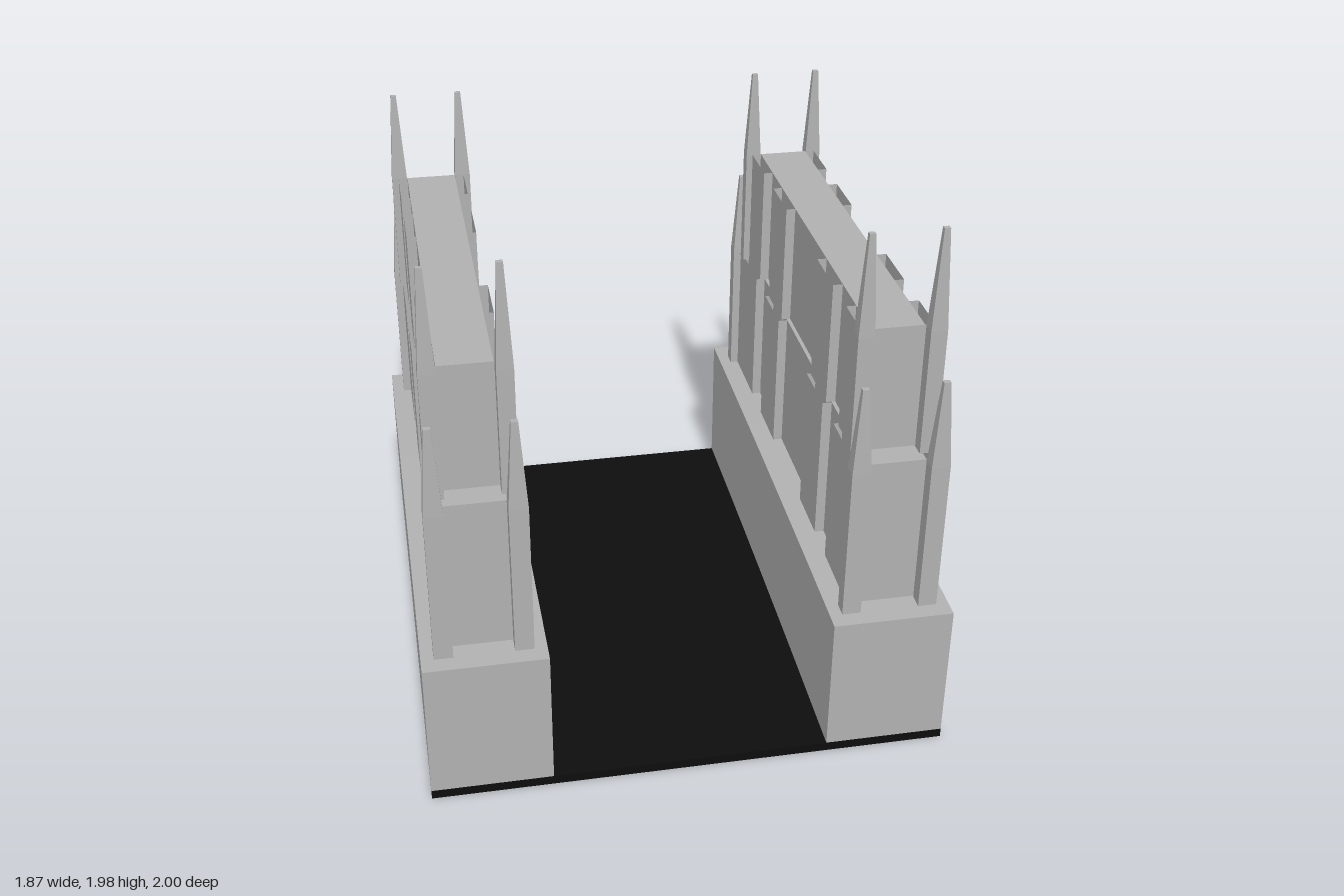
import * as THREE from 'three';

const stone = new THREE.MeshStandardMaterial({ name: 'stone', color: 0xb0b0b0, side: THREE.DoubleSide });
const asphalt = new THREE.MeshStandardMaterial({ name: 'asphalt', color: 0x0d0d0d, side: THREE.DoubleSide });

// gentle rise of the ground from front to back
const rise = z => 0.03 - 0.02 * z - 0.01 * z * z;

function add(parent, name, geometry, material, x = 0, y = 0, z = 0, rotY = 0) {
  const mesh = new THREE.Mesh(geometry, material);
  mesh.name = name;
  mesh.position.set(x, y, z);
  mesh.rotation.y = rotY;
  parent.add(mesh);
  return mesh;
}

// open cross-section [x, y] swept from front to back along the rise
function sweep(profile, steps = 6) {
  const pos = [];
  const at = (p, k) => {
    const z = 1 - 2 * k / steps;
    return [p[0], p[1] + rise(z), z];
  };
  for (let k = 0; k < steps; k++) {
    for (let i = 0; i < profile.length - 1; i++) {
      const a = at(profile[i], k), b = at(profile[i + 1], k);
      const c = at(profile[i + 1], k + 1), d = at(profile[i], k + 1);
      pos.push(...a, ...b, ...c, ...a, ...c, ...d);
    }
  }
  const g = new THREE.BufferGeometry();
  g.setAttribute('position', new THREE.Float32BufferAttribute(pos, 3));
  g.computeVertexNormals();
  return g;
}

// box between two heights and two depths, centred on x
function box(parent, name, halfW, y0, y1, z0, z1) {
  add(parent, name, new THREE.BoxGeometry(2 * halfW, y1 - y0, z1 - z0), stone,
    0, (y0 + y1) / 2, (z0 + z1) / 2);
}

// square shaft with a tapering spire
function pinnacle(parent, x, z, w, d, y0, shoulder, tip) {
  const g = new THREE.Group();
  g.name = 'pinnacle';
  g.position.set(x, 0, z);
  parent.add(g);
  add(g, 'shaft', new THREE.BoxGeometry(w, shoulder - y0, d), stone, 0, (y0 + shoulder) / 2, 0);
  const spire = new THREE.BoxGeometry(w, tip - shoulder, d);
  const p = spire.attributes.position;
  for (let i = 0; i < p.count; i++) {
    if (p.getY(i) > 0) {
      p.setX(i, p.getX(i) * 0.36);
      p.setZ(i, p.getZ(i) * 0.36);
    }
  }
  spire.computeVertexNormals();
  add(g, 'spire', spire, stone, 0, (shoulder + tip) / 2, 0);
}

// projecting wall panel, open at the top
function bay(parent, side, halfW, depth, y0, y1, zBack, zFront) {
  const h = y1 - y0, y = (y0 + y1) / 2, z = (zBack + zFront) / 2;
  const g = new THREE.Group();
  g.name = 'wallBay';
  parent.add(g);
  add(g, 'bayFace', new THREE.PlaneGeometry(zFront - zBack, h), stone,
    side * (halfW + depth), y, z, side * Math.PI / 2);
  const x = side * (halfW + depth / 2);
  add(g, 'bayFrontReturn', new THREE.PlaneGeometry(depth, h), stone, x, y, zFront);
  add(g, 'bayBackReturn', new THREE.PlaneGeometry(depth, h), stone, x, y, zBack, Math.PI);
}

const tiers = [
  { name: 'lowerTier', halfW: 0.107, y0: 0.565, y1: 1.145, z: [-0.86, 0.88],
    bays: [[0.595, 0.88], [0.23, 0.45], [-0.42, -0.20], [-0.86, -0.575]],
    pin: { x: 0.139, w: 0.067, d: 0.055, zs: [[0.912, 1.465], [-0.886, 1.475]] } },
  { name: 'upperTier', halfW: 0.093, y0: 1.145, y1: 1.615, z: [-0.77, 0.785],
    bays: [[0.61, 0.785], [0.235, 0.445], [-0.415, -0.21], [-0.77, -0.57]],
    pin: { x: 0.124, w: 0.058, d: 0.05, zs: [[0.815, 1.98], [-0.792, 1.95]] } },
];

function building() {
  const g = new THREE.Group();
  // hollow plinth: sides and top, then end walls
  const w = 0.2175;
  add(g, 'plinth', sweep([[-w, 0], [-w, 0.565], [w, 0.565], [w, 0]]), stone);
  for (const s of [1, -1]) {
    add(g, 'plinthEnd', new THREE.PlaneGeometry(2 * w, 0.53), stone,
      0, rise(s) + 0.3, s, s > 0 ? 0 : Math.PI);
  }
  // two stepped tiers with bays and corner pinnacles
  for (const t of tiers) {
    const tier = new THREE.Group();
    tier.name = t.name;
    g.add(tier);
    box(tier, 'wallCore', t.halfW, t.y0, t.y1, t.z[0], t.z[1]);
    for (const side of [1, -1]) {
      for (const [b, f] of t.bays) bay(tier, side, t.halfW, 0.035, t.y0, t.y1, b, f);
      for (const [z, tip] of t.pin.zs) {
        pinnacle(tier, side * t.pin.x, z, t.pin.w, t.pin.d, t.y0, t.y1, tip);
      }
    }
  }
  return g;
}

export function createModel() {
  const model = new THREE.Group();
  model.name = 'streetWithBuildings';

  // road surface and its full-width end edges
  add(model, 'road', sweep([[-0.5, 0.035], [0.5, 0.035]]), asphalt);
  for (const s of [1, -1]) {
    add(model, 'roadEdge', new THREE.PlaneGeometry(1.87, 0.035), asphalt,
      0, rise(s) + 0.0175, s, s > 0 ? 0 : Math.PI);
  }

  // matching buildings on both sides of the road
  for (const s of [1, -1]) {
    const b = building();
    b.name = s > 0 ? 'leftBuilding' : 'rightBuilding';
    b.position.x = s * 0.7175;
    model.add(b);
  }
  return model;
}
